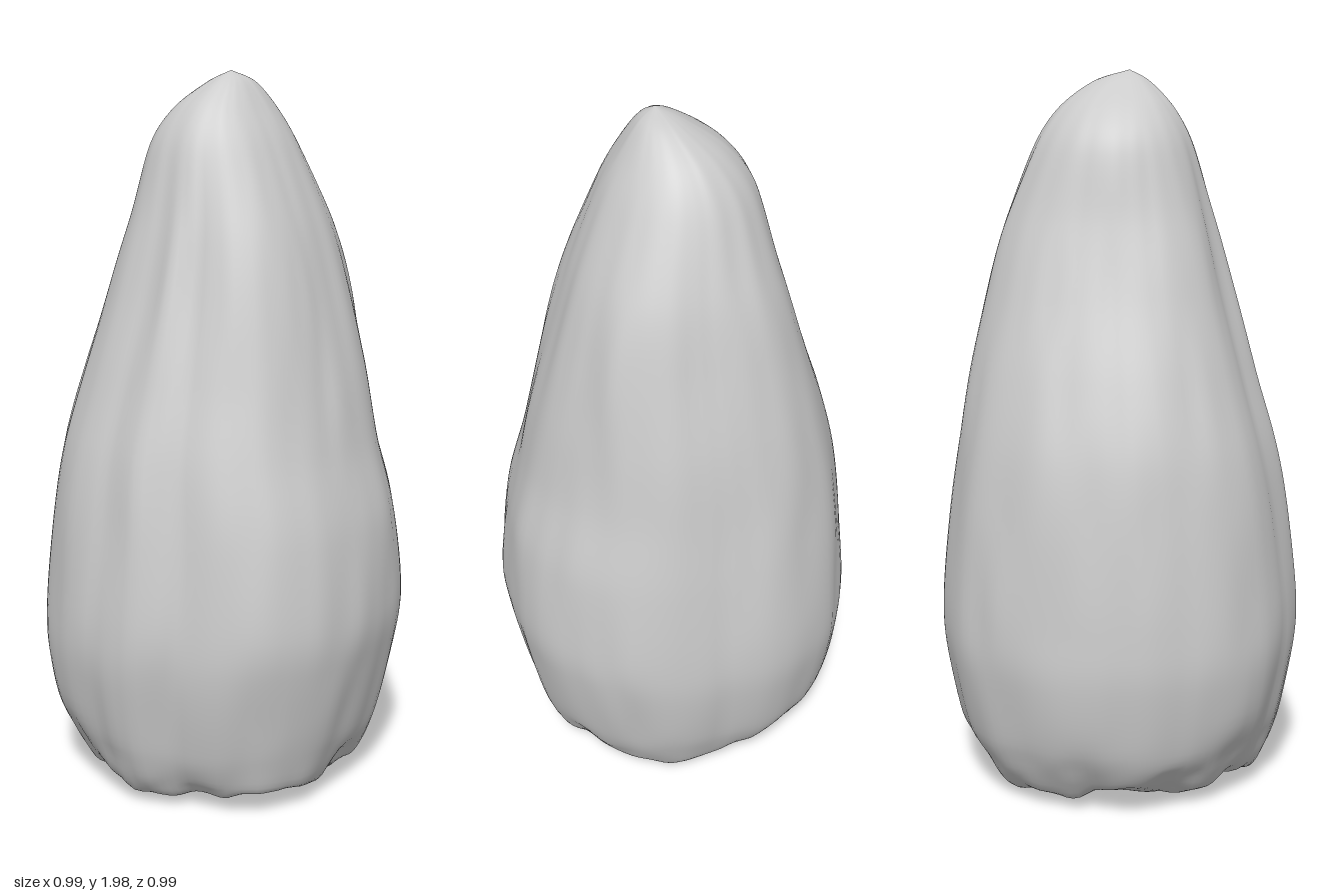
import * as THREE from 'three';

// Height sections of the husk: y, min x, max x, min z, max z
const SECTIONS = [
  [0.065, 0.0, 0.0, 0.0, 0.0],
  [0.055, -0.17, 0.17, -0.17, 0.18],
  [0.05, -0.31, 0.33, -0.33, 0.33],
  [0.09, -0.4, 0.39, -0.39, 0.4],
  [0.2, -0.46, 0.44, -0.452, 0.455],
  [0.4, -0.495, 0.485, -0.492, 0.495],
  [0.55, -0.495, 0.502, -0.498, 0.498],
  [0.8, -0.475, 0.48, -0.478, 0.468],
  [1.0, -0.443, 0.427, -0.448, 0.43],
  [1.2, -0.385, 0.382, -0.415, 0.37],
  [1.4, -0.315, 0.33, -0.368, 0.305],
  [1.6, -0.255, 0.27, -0.318, 0.25],
  [1.8, -0.205, 0.19, -0.24, 0.19],
  [1.9, -0.135, 0.135, -0.175, 0.135],
  [1.97, -0.035, 0.085, -0.085, 0.065],
  [2.0, 0.035, 0.035, 0.01, 0.01],
];

// Girth factor every 15 degrees, starting at +x and turning towards +z
const GIRTH = [0.99, 0.98, 1.0, 1.0, 0.97, 0.93, 1.0, 0.97, 1.01, 1.01, 0.99, 1.0,
  0.99, 1.01, 1.03, 1.05, 1.04, 1.02, 0.98, 1.01, 1.03, 1.03, 1.01, 1.01];

const SIDES = 120;
const ROWS = 100;
const { lerp, smoothstep } = THREE.MathUtils;

const bump = (d, width) => Math.exp(-(d * d) / (width * width));
const angleGap = (a, b) => Math.atan2(Math.sin(a - b), Math.cos(a - b));

function girthAt(a) {
  const f = (a / (2 * Math.PI)) * GIRTH.length;
  const i = Math.floor(f);
  return lerp(GIRTH[i], GIRTH[(i + 1) % GIRTH.length], f - i);
}

function hash(x, y, z) {
  const v = Math.sin(x * 127.1 + y * 311.7 + z * 74.7) * 43758.5453;
  return (v - Math.floor(v)) * 2 - 1;
}

// Smooth value noise between -1 and 1
function noise(x, y, z) {
  const i = Math.floor(x), j = Math.floor(y), k = Math.floor(z);
  const u = smoothstep(x - i, 0, 1), v = smoothstep(y - j, 0, 1), w = smoothstep(z - k, 0, 1);
  const edge = (b, c) => lerp(hash(i, b, c), hash(i + 1, b, c), u);
  const face = (c) => lerp(edge(j, c), edge(j + 1, c), v);
  return lerp(face(k), face(k + 1), w);
}

function createHusk() {
  const spline = (lo, hi) => new THREE.CatmullRomCurve3(
    SECTIONS.map((s) => new THREE.Vector3(s[lo], s[hi], s[0])), false, 'catmullrom', 0.45);
  const xCurve = spline(1, 2), zCurve = spline(3, 4);
  const positions = [], indices = [];

  for (let r = 0; r <= ROWS; r++) {
    const px = xCurve.getPoint(r / ROWS), pz = zCurve.getPoint(r / ROWS);
    const baseY = px.z;
    const section = (r / ROWS) * (SECTIONS.length - 1);
    // The underside and rim are craggy, the flanks only ridged
    const crag = 1 - smoothstep(section, 2.7, 4.2);
    const fade = 1 - smoothstep(baseY, 1.5, 1.95);
    for (let s = 0; s < SIDES; s++) {
      const a = (s / SIDES) * Math.PI * 2;
      const c = Math.cos(a), n = Math.sin(a);
      let k = 1 + (girthAt(a) - 1) * fade;
      // Fuller shoulders on the diagonals
      k += 0.055 * Math.sin(2 * a) ** 2 * bump(baseY - 1.5, 0.25);
      // Long uneven ridges and small dents
      k += 0.014 * noise(c * 3.2 + 5, baseY * 1.9, n * 3.2 + 9);
      k += 0.016 * noise(c * 6 + 20, baseY * 3.5, n * 6 + 4);
      // Chips in the lower edge
      k -= 0.05 * bump(angleGap(a, 2.2), 0.2) * bump(baseY - 0.16, 0.07);
      k -= 0.03 * bump(angleGap(a, 3.2), 0.12) * bump(baseY - 0.12, 0.08);
      const x = (px.x + px.y) / 2 + ((px.y - px.x) / 2) * c * k;
      const z = (pz.x + pz.y) / 2 + ((pz.y - pz.x) / 2) * n * k;
      // Broken, lumpy base
      const lump = noise(x * 8 + 3, baseY * 8, z * 8 + 7);
      const grit = noise(x * 16 + 11, baseY * 16, z * 16 + 2);
      const y = baseY + crag * (0.036 * lump + 0.016 * grit);
      const push = 1 + crag * 0.03 * noise(x * 10 + 31, baseY * 10, z * 10 + 17);
      positions.push(x * push, Math.max(0, y), z * push);
    }
  }
  for (let r = 0; r < ROWS; r++) {
    for (let s = 0; s < SIDES; s++) {
      const t = (s + 1) % SIDES;
      const a = r * SIDES + s, b = r * SIDES + t, c = a + SIDES, d = b + SIDES;
      // The first and last rows close to a point
      if (r > 0) indices.push(a, c, b);
      if (r < ROWS - 1) indices.push(b, c, d);
    }
  }
  const geometry = new THREE.BufferGeometry();
  geometry.setAttribute('position', new THREE.Float32BufferAttribute(positions, 3));
  geometry.setIndex(indices);
  geometry.computeVertexNormals();
  return geometry;
}

export function createModel() {
  const model = new THREE.Group();
  const husk = new THREE.Mesh(createHusk(), new THREE.MeshStandardMaterial({ color: 0xcccccc }));
  husk.name = 'husk';
  model.add(husk);
  return model;
}
